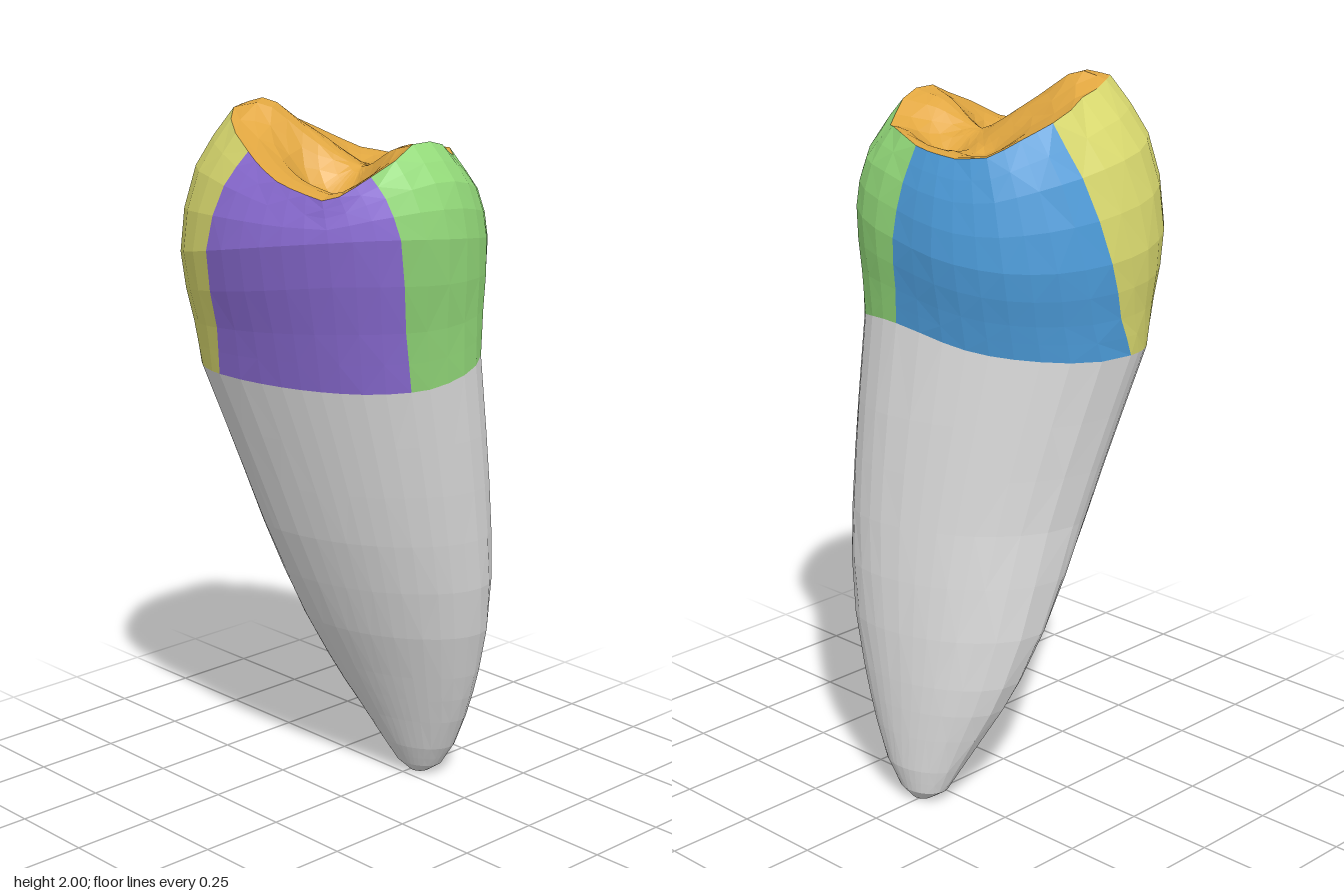
import * as THREE from 'three';

const paint = (name, color) => Object.assign(new THREE.MeshStandardMaterial({ color }), { name });
const lerp = THREE.MathUtils.lerp;
const RAD = Math.PI / 180;

// Root sections: y, min x, max x, min z, max z
const SECTIONS = [
  [0, -0.02, 0.04, -0.34, -0.28], [0.03, -0.064, 0.082, -0.362, -0.253], [0.1, -0.098, 0.128, -0.376, -0.216],
  [0.2, -0.147, 0.174, -0.38, -0.17], [0.28, -0.185, 0.205, -0.382, -0.13], [0.36, -0.214, 0.232, -0.383, -0.09],
  [0.5, -0.247, 0.272, -0.383, -0.02], [0.65, -0.264, 0.298, -0.377, 0.043], [0.8, -0.277, 0.312, -0.366, 0.103],
  [1, -0.309, 0.326, -0.346, 0.173], [1.27, -0.36, 0.34, -0.315, 0.268], [1.36, -0.366, 0.345, -0.3, 0.283],
];

// Widest crown outline: x, z
const BELLY = [
  [0.392, -0.04], [0.38, 0.06], [0.33, 0.17], [0.29, 0.23], [0.12, 0.355], [0.02, 0.381], [-0.11, 0.381],
  [-0.22, 0.358], [-0.3, 0.308], [-0.357, 0.235], [-0.39, 0.16], [-0.386, 0], [-0.36, -0.07], [-0.28, -0.19],
  [-0.15, -0.285], [0.05, -0.325], [0.2, -0.318], [0.29, -0.265], [0.36, -0.16],
];

// Edge of the chewing surface: x, z, y
const RIM = [
  [0.295, 0.03, 1.915], [0.3, 0.18, 1.85], [0.25, 0.28, 1.79], [0.13, 0.335, 1.83], [0, 0.325, 1.895],
  [-0.1, 0.29, 1.945], [-0.2, 0.19, 1.985], [-0.25, 0.03, 1.95], [-0.27, -0.1, 1.905], [-0.23, -0.16, 1.87],
  [-0.18, -0.24, 1.825], [-0.1, -0.275, 1.815], [0.02, -0.29, 1.83], [0.13, -0.265, 1.865], [0.21, -0.21, 1.85],
  [0.25, -0.15, 1.87], [0.285, -0.07, 1.915],
];

// Turns an outline into a lookup from angle to [radius, height]
function polar(points) {
  const turn = Math.PI * 2;
  const wrap = (a) => ((a % turn) + turn) % turn;
  const list = points.map(([x, z, y = 0]) => [wrap(Math.atan2(z, x)), Math.hypot(x, z), y]).sort((a, b) => a[0] - b[0]);
  return (angle) => {
    const a = wrap(angle);
    let i = list.findIndex((p) => p[0] > a);
    if (i < 0) i = 0;
    const p = list[(i + list.length - 1) % list.length], q = list[i];
    const k = wrap(a - p[0]) / wrap(q[0] - p[0]);
    return [lerp(p[1], q[1], k), lerp(p[2], q[2], k)];
  };
}
const belly = polar(BELLY);
const rim = polar(RIM);

// Smooth bump around one direction, in degrees
function bump(angle, centre, width) {
  const d = angle - centre * RAD;
  return Math.exp(-((Math.atan2(Math.sin(d), Math.cos(d)) / width) ** 2));
}

// Point on the skewed elliptical root section at height y, fuller at the front right
function rootPoint(y, angle) {
  let i = SECTIONS.findIndex((s) => s[0] >= y);
  i = i < 0 ? SECTIONS.length - 1 : Math.max(i, 1);
  const p = SECTIONS[i - 1], q = SECTIONS[i];
  const k = (y - p[0]) / (q[0] - p[0]);
  const [, x0, x1, z0, z1] = p.map((v, j) => lerp(v, q[j], k));
  const dx = Math.cos(angle) / ((x1 - x0) / 2), dz = Math.sin(angle) / ((z1 - z0) / 2);
  const skew = -0.45 + 0.08 * y + 0.42 * Math.exp(-6 * y);
  const full = 1 + 0.06 * bump(angle, 135, 0.45) * THREE.MathUtils.smoothstep(y, 0.4, 0.8);
  const r = full * Math.sqrt((1 - skew * skew) / (dx * dx + dz * dz - 2 * skew * dx * dz));
  return new THREE.Vector3((x0 + x1) / 2 + r * Math.cos(angle), y, (z0 + z1) / 2 + r * Math.sin(angle));
}

// Neck line, arched on the back left side
function neckHeight(angle) {
  return 1.255 + 0.065 * bump(angle, -58, 0.75) + 0.03 * Math.max(0, -Math.sin(angle)) + 0.008 * (1 - Math.cos(angle));
}

// Point on the crown wall, t = 0 at the neck and 1 at the rim
function crownPoint(t, angle) {
  const neck = rootPoint(neckHeight(angle), angle);
  const at = (r, y) => new THREE.Vector3(r * Math.cos(angle), y, r * Math.sin(angle));
  const [rr, ry] = rim(angle);
  const br = belly(angle)[0];
  const by = 1.61 + 0.07 * Math.cos(angle) + 0.04 * Math.sin(angle);
  const wide = at(br, by);
  const low = neck.clone().lerp(wide, 0.4);
  const shoulder = at(lerp(br, rr, 0.3), lerp(by, ry, 0.6));
  return new THREE.CatmullRomCurve3([neck, low, wide, shoulder, at(rr, ry)]).getPoint(t);
}

// Chewing surface: cusps and ridges raised, pits and grooves sunk (x, z, height, width)
const RELIEF = [
  [-0.16, 0.14, 0.082, 0.1], [-0.04, 0.04, 0.025, 0.08], [0.21, -0.02, 0.02, 0.07],
  [0.08, -0.15, -0.065, 0.075], [-0.1, -0.15, -0.035, 0.07],
  [0.1, 0.13, -0.06, 0.08], [0.03, 0.15, -0.035, 0.06], [0.18, 0.13, -0.035, 0.06],
];
function chewingPoint(s, angle) {
  const edge = crownPoint(1, angle);
  const x = lerp(0.08, edge.x, s), z = lerp(0, edge.z, s);
  let lift = 0;
  for (const [px, pz, h, w] of RELIEF) lift += h * Math.exp(-((x - px) ** 2 + (z - pz) ** 2) / (w * w));
  return new THREE.Vector3(x, lerp(1.832, edge.y, s ** 1.2) + lift * (1 - s ** 5), z);
}

// Faceted skin over rows of points
function skin(name, rows, material) {
  const pos = [];
  const tri = (a, b, c) => {
    const area = b.clone().sub(a).cross(c.clone().sub(a)).length();
    if (area > 1e-9) for (const p of [a, b, c]) pos.push(p.x, p.y, p.z);
  };
  for (let r = 0; r + 1 < rows.length; r++) {
    for (let c = 0; c + 1 < rows[r].length; c++) {
      const a = rows[r][c], b = rows[r + 1][c], d = rows[r][c + 1], e = rows[r + 1][c + 1];
      if ((r + c) % 2) { tri(a, b, d); tri(d, b, e); } else { tri(a, b, e); tri(a, e, d); }
    }
  }
  const geometry = new THREE.BufferGeometry();
  geometry.setAttribute('position', new THREE.Float32BufferAttribute(pos, 3));
  geometry.computeVertexNormals();
  const mesh = new THREE.Mesh(geometry, material);
  mesh.name = name;
  return mesh;
}

export function createModel() {
  const group = new THREE.Group();
  group.name = 'tooth';

  // Crown walls: start and end angle at the neck, then at the rim
  const walls = [
    ['frontWall', paint('purple', 0x9070dc), 9, 120, 31, 90, 9],
    ['rightWall', paint('yellow', 0xdcdc70), 120, 160, 90, 200, 8],
    ['backWall', paint('blue', 0x4e9fde), 160, 291, 200, 276, 9],
    ['leftWall', paint('green', 0x96de7c), 291, 369, 276, 391, 9],
  ];
  const neckAngles = [], rimAngles = [];
  for (const [name, material, n0, n1, r0, r1, count] of walls) {
    const rows = [];
    for (let i = 0; i <= 8; i++) {
      const t = i / 8, row = [];
      for (let c = 0; c <= count; c++) {
        const k = c / count;
        row.push(crownPoint(t, lerp(lerp(n0, n1, k), lerp(r0, r1, k), t ** 1.05) * RAD));
      }
      rows.push(row);
    }
    group.add(skin(name, rows, material));
    for (let c = neckAngles.length ? 1 : 0; c <= count; c++) {
      neckAngles.push(lerp(n0, n1, c / count) * RAD);
      rimAngles.push(lerp(r0, r1, c / count) * RAD);
    }
  }

  // Chewing surface
  const steps = [1, 0.93, 0.82, 0.7, 0.58, 0.46, 0.34, 0.22, 0.1, 0];
  group.add(skin('chewingSurface', steps.map((s) => rimAngles.map((a) => chewingPoint(s, a))), paint('orange', 0xe0a640)));

  // Root, from the closed tip up to the neck line
  const levels = [0, 0.012, 0.03, 0.06, 0.1, 0.2, 0.28, 0.36, 0.5, 0.65, 0.8, 0.95, 1.1];
  const rootRows = levels.map((y) => neckAngles.map((a) => rootPoint(y, a)));
  rootRows.unshift(neckAngles.map(() => new THREE.Vector3(0.01, 0, -0.31)));
  rootRows.push(neckAngles.map((a) => rootPoint(neckHeight(a), a)));
  group.add(skin('root', rootRows, paint('grey', 0xdcdcdc)));

  return group;
}
